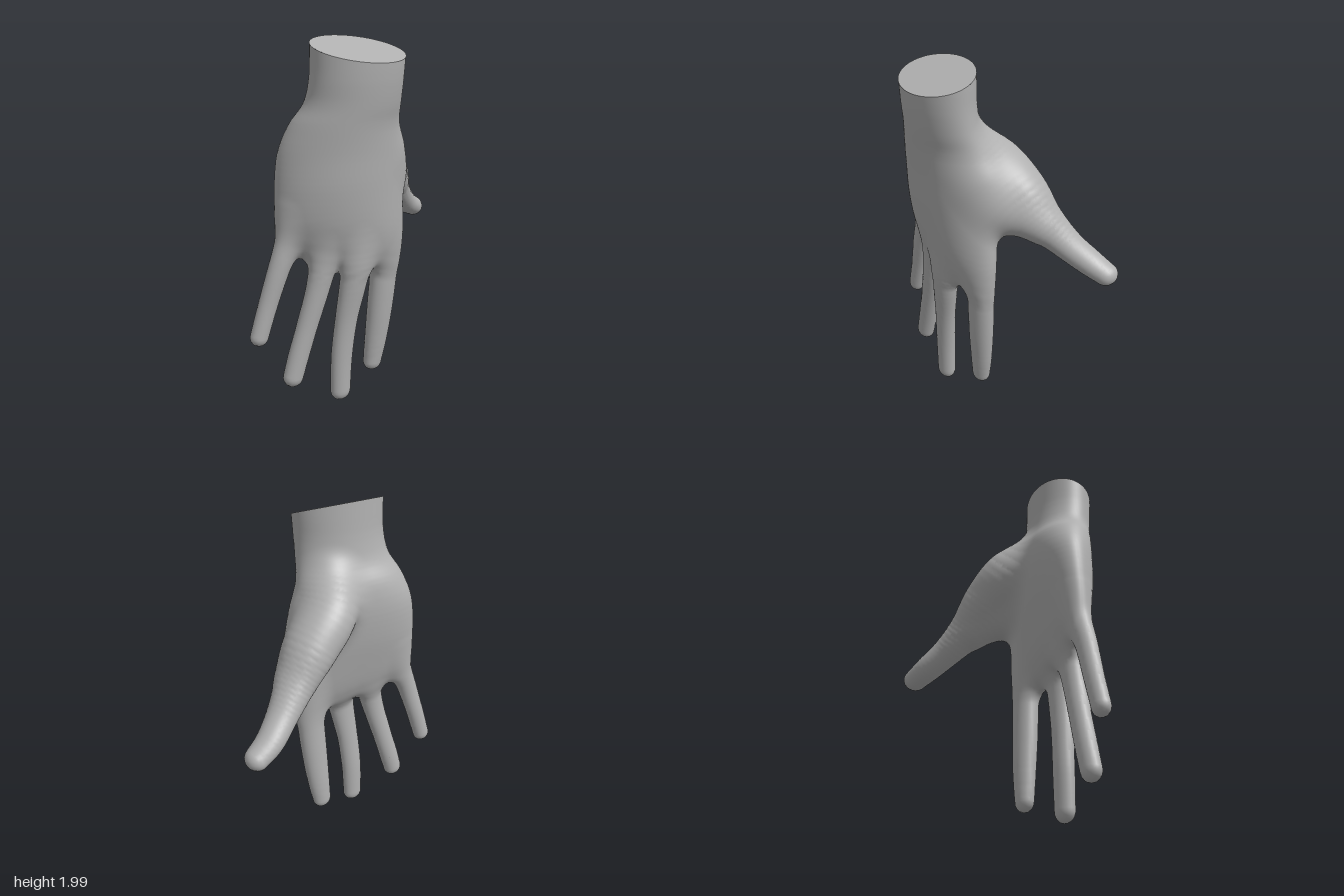
import * as THREE from 'three';

const STEP = 0.018;
const MIN = [-0.43, -0.04, -0.74];
const COUNT = [49, 118, 84];
const CUT = { x: 0.185, y: 1.94, z: 0.145, slope: -0.35, halfX: 0.171, halfZ: 0.248, yaw: 0.2 };

// Palm and wrist sections: y, x, z, half width, half thickness, yaw, cupping
const PALM = [
  [2.1, 0.19, 0.145, 0.248, 0.171, 0.2, 0],
  [1.94, 0.185, 0.145, 0.248, 0.171, 0.2, 0],
  [1.8, 0.176, 0.148, 0.247, 0.17, 0.2, 0],
  [1.68, 0.157, 0.155, 0.259, 0.172, 0.2, 0.01],
  [1.57, 0.122, 0.175, 0.297, 0.185, 0.2, 0.025],
  [1.43, 0.106, 0.18, 0.342, 0.183, 0.2, 0.04],
  [1.25, 0.105, 0.185, 0.358, 0.168, 0.2, 0.045],
  [1.06, 0.11, 0.182, 0.36, 0.138, 0.21, 0.045],
  [0.94, 0.11, 0.178, 0.34, 0.11, 0.22, 0.04],
  [0.86, 0.11, 0.17, 0.31, 0.08, 0.22, 0.035],
  [0.8, 0.11, 0.16, 0.28, 0.06, 0.22, 0.03],
];

// Digits: points of x, y, z, half width; flat = half width over half thickness
const DIGITS = {
  indexFinger: { flat: 1.27, rows: [
    [0.1, 1.12, -0.07, 0.07], [0.108, 0.9, -0.08, 0.084], [0.108, 0.72, -0.082, 0.083],
    [0.094, 0.5, -0.07, 0.079], [0.077, 0.3, -0.055, 0.07], [0.065, 0.153, -0.04, 0.058]] },
  middleFinger: { flat: 1.28, rows: [
    [0.14, 1.1, 0.14, 0.07], [0.16, 0.87, 0.142, 0.092], [0.155, 0.72, 0.158, 0.08],
    [0.132, 0.5, 0.19, 0.067], [0.116, 0.28, 0.211, 0.064], [0.11, 0.068, 0.218, 0.06]] },
  ringFinger: { flat: 1.17, rows: [
    [0.085, 1.08, 0.27, 0.07], [0.093, 0.87, 0.303, 0.078], [0.086, 0.7, 0.342, 0.067],
    [0.066, 0.5, 0.398, 0.061], [0.05, 0.32, 0.45, 0.06], [0.043, 0.204, 0.482, 0.058]] },
  littleFinger: { flat: 1.13, rows: [
    [0.02, 1.14, 0.43, 0.065], [0.01, 0.94, 0.485, 0.066], [0, 0.8, 0.535, 0.059],
    [-0.018, 0.63, 0.588, 0.054], [-0.03, 0.456, 0.64, 0.051]] },
  thumb: { flat: 0.87, rows: [
    [0.06, 1.59, 0.03, 0.085], [-0.03, 1.47, -0.04, 0.138], [-0.08, 1.33, -0.18, 0.138],
    [-0.132, 1.19, -0.3, 0.105], [-0.2, 1.065, -0.42, 0.08], [-0.262, 0.973, -0.53, 0.07],
    [-0.293, 0.92, -0.625, 0.06]] },
  thumbWeb: { flat: 1, rows: [
    [0.06, 1.38, -0.06, 0.11], [0.01, 1.255, -0.17, 0.108], [-0.1, 1.17, -0.29, 0.085]] },
};

// Smooth interpolation through rows of numbers
function smoothRows(rows, steps) {
  const at = (i) => rows[Math.min(Math.max(i, 0), rows.length - 1)];
  const out = [];
  for (let i = 0; i < rows.length - 1; i++) {
    for (let s = 0; s < steps; s++) {
      const t = s / steps;
      out.push(rows[i].map((_, k) => {
        const [a, b, c, d] = [at(i - 1)[k], at(i)[k], at(i + 1)[k], at(i + 2)[k]];
        return b + 0.5 * t * (c - a + t * (2 * a - 5 * b + 4 * c - d + t * (3 * (b - c) + d - a)));
      }));
    }
  }
  out.push(rows[rows.length - 1]);
  return out;
}

// Minimum with a rounded fillet of size k
function blend(a, b, k) {
  const h = Math.max(k - Math.abs(a - b), 0) / k;
  return Math.min(a, b) - h * h * k * 0.25;
}

// Distance to a stack of turned, cupped ellipses, its lower end rising towards the little finger
function palmDistance() {
  const rows = smoothRows(PALM, 5), bottom = rows[rows.length - 1][0];
  return (px, py, pz) => {
    const y = py - 0.25 * (1 - THREE.MathUtils.smoothstep(py, 0.9, 1.3)) * (pz - 0.17);
    let i = 0;
    while (i < rows.length - 2 && rows[i + 1][0] > y) i++;
    const A = rows[i], B = rows[i + 1];
    const t = THREE.MathUtils.clamp((A[0] - y) / (A[0] - B[0]), 0, 1);
    const [, x, z, a, b, yaw, cup] = A.map((v, k) => v + (B[k] - v) * t);
    const s = Math.sin(yaw), c = Math.cos(yaw);
    const u = ((pz - z) * c - (px - x) * s) / a;
    const v = ((px - x) * c + (pz - z) * s + cup * Math.min(u * u, 1.5)) / b;
    const k0 = Math.sqrt(u * u + v * v) + 1e-9;
    const k1 = Math.sqrt((u / a) ** 2 + (v / b) ** 2) + 1e-9;
    return -blend(-(k0 * (k0 - 1)) / k1, y - bottom, 0.08);
  };
}

// Distance to a tapering round-ended tube
function digitDistance({ rows, flat }) {
  const pts = smoothRows(rows, 6).map(([x, y, z, r]) => [x * flat, y, z, r]);
  return (px, py, pz) => {
    let best = Infinity;
    for (let i = 0; i < pts.length - 1; i++) {
      const [ax, ay, az, ar] = pts[i], [bx, by, bz, br] = pts[i + 1];
      const dx = bx - ax, dy = by - ay, dz = bz - az;
      const qx = px * flat - ax, qy = py - ay, qz = pz - az;
      const t = Math.min(Math.max((qx * dx + qy * dy + qz * dz) / (dx * dx + dy * dy + dz * dz), 0), 1);
      const ex = qx - t * dx, ey = qy - t * dy, ez = qz - t * dz;
      best = Math.min(best, Math.sqrt(ex * ex + ey * ey + ez * ez) - ar - t * (br - ar));
    }
    return best;
  };
}

export function createModel() {
  const model = new THREE.Group();
  model.name = 'hand';
  const skin = new THREE.MeshStandardMaterial({ color: 0xb0b0b0 });
  skin.name = 'plain grey';
  const add = (name, geometry) => {
    const mesh = new THREE.Mesh(geometry, skin);
    mesh.name = name;
    model.add(mesh);
  };

  // Palm and digits joined by fillets into one continuous skin
  const names = ['palm', ...Object.keys(DIGITS)];
  const parts = [palmDistance(), ...Object.values(DIGITS).map(digitDistance)];
  const field = (x, y, z) => {
    const [palm, f1, f2, f3, f4, thumb, web] = parts.map((part) => part(x, y, z));
    const fingers = [f2, f3, f4].reduce((sum, f) => blend(sum, f, 0.03), f1);
    return blend(blend(palm, fingers, 0.07), blend(thumb, web, 0.06), 0.12);
  };
  const gradient = (p) => {
    const e = 0.006;
    return new THREE.Vector3(
      field(p.x + e, p.y, p.z) - field(p.x - e, p.y, p.z),
      field(p.x, p.y + e, p.z) - field(p.x, p.y - e, p.z),
      field(p.x, p.y, p.z + e) - field(p.x, p.y, p.z - e)).divideScalar(2 * e);
  };

  const stride = [1, COUNT[0], COUNT[0] * COUNT[1]];
  const samples = new Float32Array(stride[2] * COUNT[2]);
  const place = (n, offset) => [n % COUNT[0], Math.floor(n / stride[1]) % COUNT[1], Math.floor(n / stride[2])]
    .map((g, k) => MIN[k] + (g + offset) * STEP);
  for (let n = 0; n < samples.length; n++) samples[n] = field(...place(n, 0));

  // One point per surface cell, slid onto the skin; points past the wrist cut drop to its plane
  const positions = [], normals = [], owner = [], cut = [], known = new Map();
  const cellPoint = (n) => {
    if (known.has(n)) return known.get(n);
    const p = new THREE.Vector3(...place(n, 0.5));
    for (let i = 0; i < 4; i++) {
      const g = gradient(p);
      p.addScaledVector(g, -field(p.x, p.y, p.z) / Math.max(g.lengthSq(), 0.2));
    }
    const normal = gradient(p).normalize();
    const near = parts.map((part) => part(p.x, p.y, p.z));
    const above = p.y - CUT.y - CUT.slope * (p.x - CUT.x);
    p.y -= Math.max(above, 0);
    known.set(n, owner.length);
    owner.push(near.indexOf(Math.min(...near)));
    cut.push(above > 0);
    positions.push(p.x, p.y, p.z);
    normals.push(normal.x, normal.y, normal.z);
    return owner.length - 1;
  };

  // A quad across every grid edge that passes through the skin
  const faces = parts.map(() => []);
  for (let n = stride[2] + stride[1] + 1; n < samples.length - stride[2]; n++) {
    for (let axis = 0; axis < 3; axis++) {
      const inside = samples[n] < 0;
      if (inside === samples[n + stride[axis]] < 0) continue;
      const b = stride[(axis + 1) % 3], c = stride[(axis + 2) % 3];
      const quad = [n - b - c, n - c, n, n - b].map(cellPoint);
      if (!inside) quad.reverse();
      if (quad.every((q) => cut[q])) continue;
      faces[owner[quad[0]]].push(quad[0], quad[1], quad[2], quad[0], quad[2], quad[3]);
    }
  }
  const position = new THREE.Float32BufferAttribute(positions, 3);
  const normal = new THREE.Float32BufferAttribute(normals, 3);
  faces.forEach((index, i) => {
    const geometry = new THREE.BufferGeometry();
    geometry.setAttribute('position', position).setAttribute('normal', normal).setIndex(index);
    if (index.length) add(names[i], geometry);
  });

  // Flat slanted cut closing the wrist
  const disc = new THREE.CircleGeometry(1, 64).rotateX(-Math.PI / 2).scale(CUT.halfX, 1, CUT.halfZ);
  disc.rotateY(-CUT.yaw);
  const points = disc.attributes.position;
  for (let i = 0; i < points.count; i++) points.setY(i, CUT.slope * points.getX(i));
  disc.translate(CUT.x, CUT.y, CUT.z).computeVertexNormals();
  add('wristCut', disc);

  return model;
}
